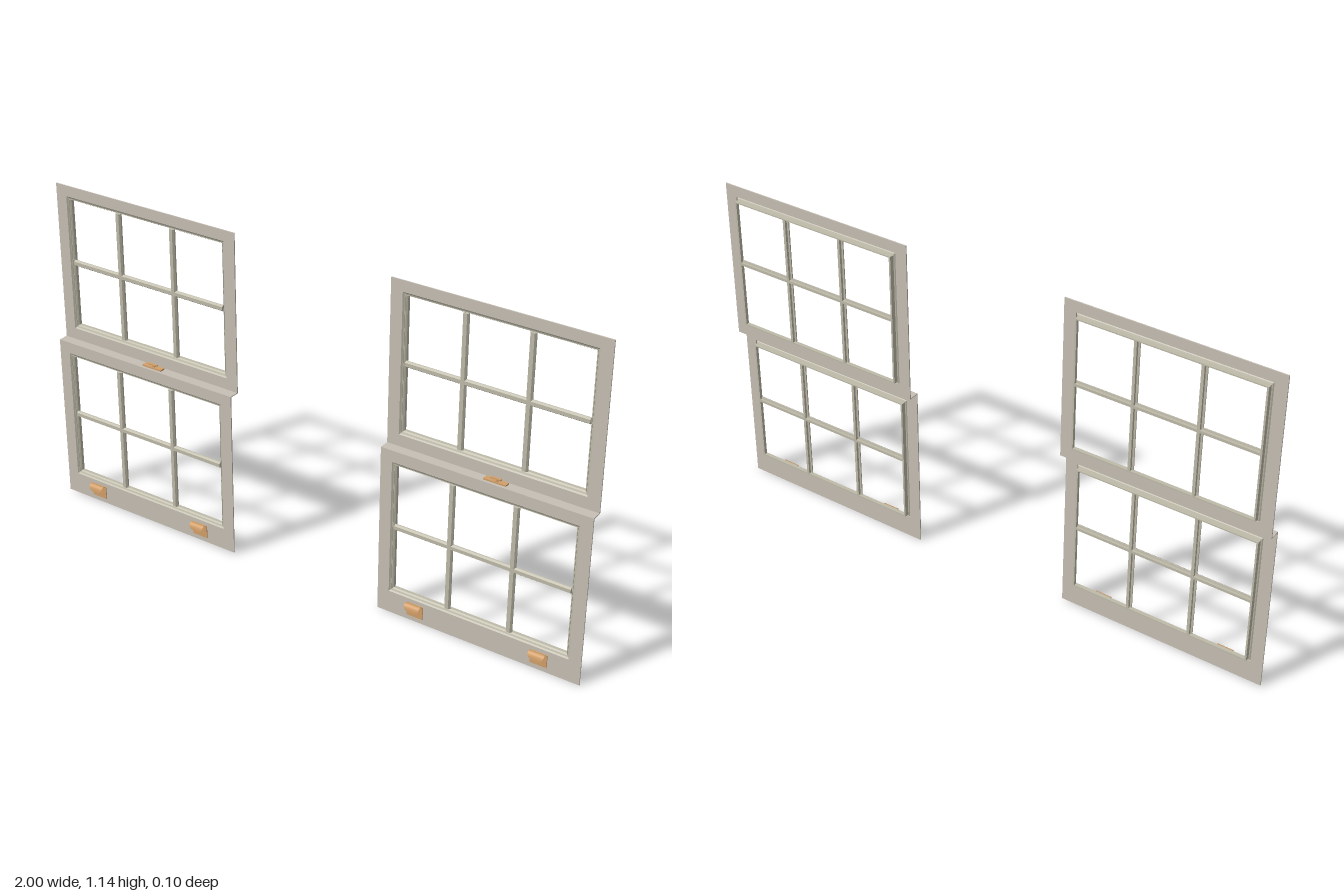
import * as THREE from 'three';

const framePaint = new THREE.MeshStandardMaterial({ color: 0xc6bfb4, side: THREE.DoubleSide });
framePaint.name = 'frame paint';
const barPaint = new THREE.MeshStandardMaterial({ color: 0xbfbbaa, side: THREE.DoubleSide });
barPaint.name = 'glazing bar paint';
const brass = new THREE.MeshStandardMaterial({ color: 0xd3a06a, side: THREE.DoubleSide });
brass.name = 'brass';

const W = 0.72, GAP = 0.035; // sash width, distance between the two sash planes

function add(parent, name, geometry, material, x = 0, y = 0, z = 0) {
  const mesh = new THREE.Mesh(geometry, material);
  mesh.name = name;
  mesh.position.set(x, y, z);
  parent.add(mesh);
  return mesh;
}

function rectPath(path, x0, y0, x1, y1) {
  path.moveTo(x0, y0);
  path.lineTo(x1, y0);
  path.lineTo(x1, y1);
  path.lineTo(x0, y1);
  path.closePath();
  return path;
}

// Rectangular ring swept through stations [half width, half height, z]
function ringGeometry(stations) {
  const pos = [];
  const corners = ([w, h, z]) => [[-w, -h, z], [w, -h, z], [w, h, z], [-w, h, z]];
  for (let i = 0; i < stations.length - 1; i++) {
    const a = corners(stations[i]), b = corners(stations[i + 1]);
    for (let k = 0; k < 4; k++) {
      const n = (k + 1) % 4;
      for (const p of [a[k], a[n], b[n], a[k], b[n], b[k]]) pos.push(...p);
    }
  }
  const g = new THREE.BufferGeometry();
  g.setAttribute('position', new THREE.Float32BufferAttribute(pos, 3));
  g.computeVertexNormals();
  return g;
}

// Moulded T profile: narrow nose in front, thin stem behind; runs along y
function barGeometry(length) {
  const half = [[0.006, 0.002], [0.0105, 0.008], [0.0105, 0.011], [0.0045, 0.012], [0.0045, 0.0205]];
  const pts = [...half, ...half.map(([x, d]) => [-x, d]).reverse()];
  const shape = new THREE.Shape(pts.map(([x, d]) => new THREE.Vector2(x, d)));
  const g = new THREE.ExtrudeGeometry(shape, { depth: length, bevelEnabled: false });
  g.translate(0, 0, -length / 2);
  g.rotateX(-Math.PI / 2); // profile depth now points to -z
  return g;
}

// One sash: face plate y0..y1, opening o0..o1, six lights
function makeSash(name, y0, y1, o0, o1) {
  const sash = new THREE.Group();
  sash.name = name;
  const hw = 0.319, hh = (o1 - o0) / 2, cy = (o0 + o1) / 2;

  const shape = rectPath(new THREE.Shape(), -W / 2, y0, W / 2, y1);
  shape.holes.push(rectPath(new THREE.Path(), -hw, o0, hw, o1));
  const plate = new THREE.ExtrudeGeometry(shape, { depth: 0.004, bevelEnabled: false });
  add(sash, 'facePlate', plate, framePaint, 0, 0, -0.004);

  // stepped bead around the opening with a raised rim at the back
  const bead = ringGeometry([
    [hw, hh, 0], [hw - 0.004, hh - 0.004, -0.004], [hw - 0.009, hh - 0.009, -0.006],
    [hw - 0.013, hh - 0.013, -0.01], [hw - 0.013, hh - 0.013, -0.0205],
    [hw - 0.007, hh - 0.009, -0.0205], [hw - 0.007, hh - 0.009, -0.003],
  ]);
  add(sash, 'openingMoulding', bead, barPaint, 0, cy);

  for (const x of [-0.109, 0.109]) add(sash, 'verticalBar', barGeometry(2 * hh - 0.026), barPaint, x, cy);
  add(sash, 'horizontalBar', barGeometry(2 * hw - 0.026), barPaint, 0, cy + 0.003).rotation.z = Math.PI / 2;
  return sash;
}

// Hooked finger lift with its fixing plate
function makeLift(x) {
  const lift = new THREE.Group();
  lift.name = 'sashLift';
  lift.position.x = x;
  add(lift, 'liftPlate', new THREE.BoxGeometry(0.058, 0.046, 0.003), brass, 0, 0.041, 0.0015);

  // arched band, tapering towards the lip
  const curve = new THREE.CatmullRomCurve3([
    [0, 0.05, 0.002], [0, 0.064, 0.004], [0, 0.07, 0.013], [0, 0.067, 0.022], [0, 0.058, 0.026], [0, 0.046, 0.027],
  ].map((p) => new THREE.Vector3(...p)));
  const n = 14;
  const g = new THREE.PlaneGeometry(1, 1, 4, n);
  const p = g.attributes.position;
  for (let i = 0; i < p.count; i++) {
    const t = 0.5 - p.getY(i), u = p.getX(i);
    const c = curve.getPoint(t);
    const width = t < 0.75 ? 0.054 : 0.054 - 0.05 * (t - 0.75);
    const round = t > 0.7 ? 0.02 * (t - 0.7) * (2 * u) ** 4 : 0;
    p.setXYZ(i, u * width, c.y + round, c.z);
  }
  g.computeVertexNormals();
  add(lift, 'liftHook', g, brass);
  return lift;
}

// Catch on the meeting rail
function makeCatch() {
  const c = new THREE.Group();
  c.name = 'sashCatch';
  add(c, 'catchBase', new THREE.BoxGeometry(0.076, 0.005, 0.019), brass, 0, 0.0025, 0);
  add(c, 'catchPivot', new THREE.CylinderGeometry(0.007, 0.009, 0.007, 16), brass, 0, 0.008, 0);
  add(c, 'catchLever', new THREE.BoxGeometry(0.036, 0.004, 0.008), brass, 0, 0.0125, 0.002);
  return c;
}

function makeWindow(name, x, y, z) {
  const win = new THREE.Group();
  win.name = name;
  win.position.set(x, y, z);

  const upper = makeSash('upperSash', 0.585, 1.14, 0.628, 1.103);
  upper.position.z = -GAP;
  const lower = makeSash('lowerSash', 0, 0.587, 0.078, 0.548);
  win.add(upper, lower);

  // shelf joining the two sash planes
  add(win, 'meetingRail', new THREE.BoxGeometry(W, 0.003, GAP), framePaint, 0, 0.5865, -GAP / 2);

  const latch = makeCatch();
  latch.position.set(0.03, 0.588, -0.019);
  win.add(latch, makeLift(-0.22), makeLift(0.22));
  return win;
}

export function createModel() {
  const model = new THREE.Group();
  model.name = 'sashWindowPair';
  model.add(makeWindow('rightWindow', -0.64, 0.005, 0.023), makeWindow('leftWindow', 0.64, 0, 0.009));
  return model;
}
